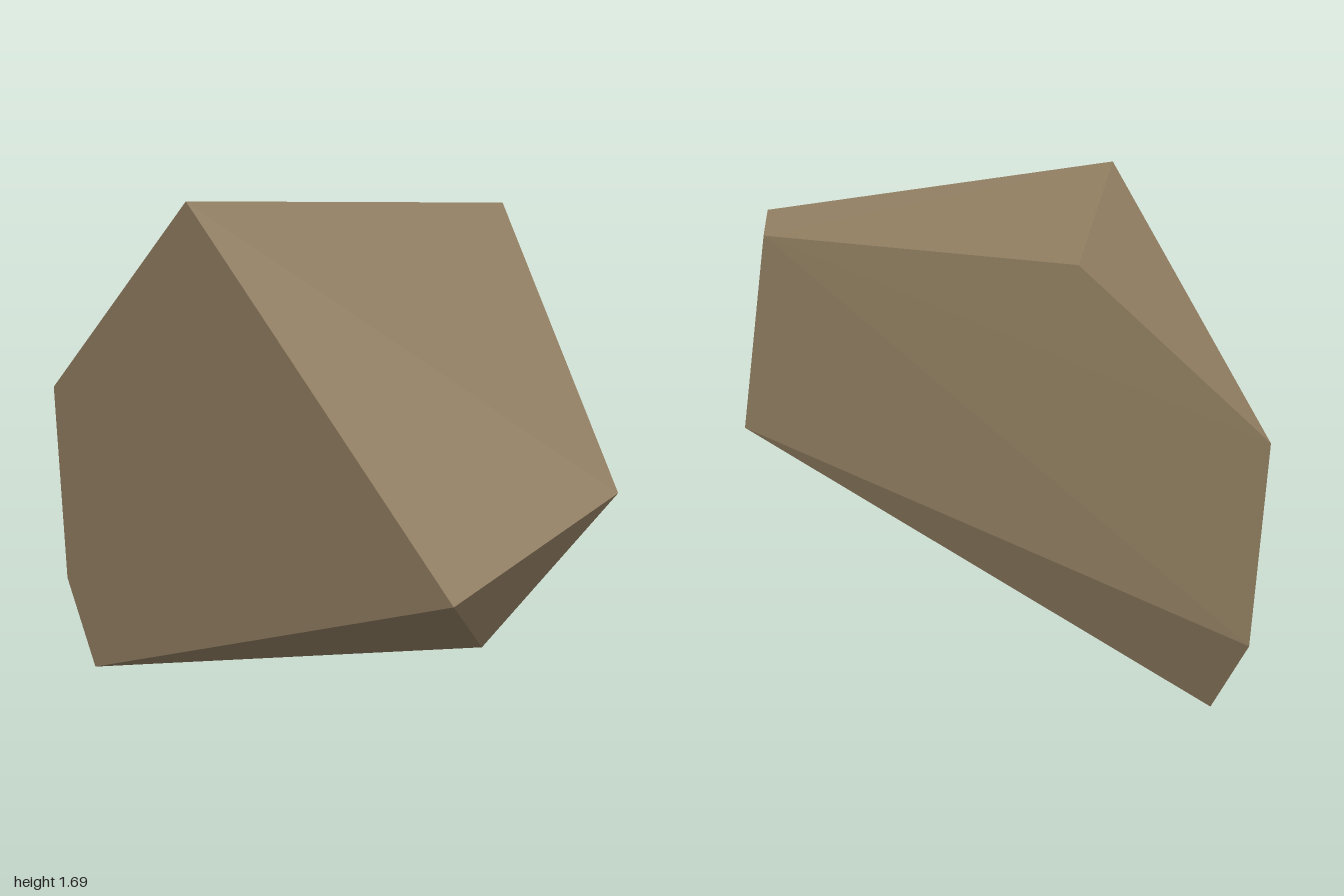
import * as THREE from 'three';
import { ConvexGeometry } from 'three/addons/geometries/ConvexGeometry.js';

export function createModel() {
  const group = new THREE.Group();
  group.name = 'rockShard';

  const stone = new THREE.MeshStandardMaterial({ color: 0x8c7a5e });
  stone.name = 'brown stone';

  // Outline of the flat broken side, as [y, z]
  const cutX = -0.63;
  const cutSide = [[0.71, 1], [1.69, -0.18], [0.98, -1], [0.29, -0.97], [0, -0.81]]
    .map(([y, z]) => new THREE.Vector3(cutX, y, z));

  // Corners of the rough outer side
  const outerSide = [
    [0.085, 0.88, 0.95], [-0.34, 0.47, 0.82],
    [0.5, 1.62, 0.05], [0.585, 1.58, -0.09],
    [-0.155, 1.515, -0.65], [0.63, 0.96, -0.01],
  ].map((p) => new THREE.Vector3(...p));

  // Faceted convex stone spanned by both sides
  const rock = new THREE.Mesh(new ConvexGeometry([...cutSide, ...outerSide]), stone);
  rock.name = 'rock';
  group.add(rock);
  return group;
}
